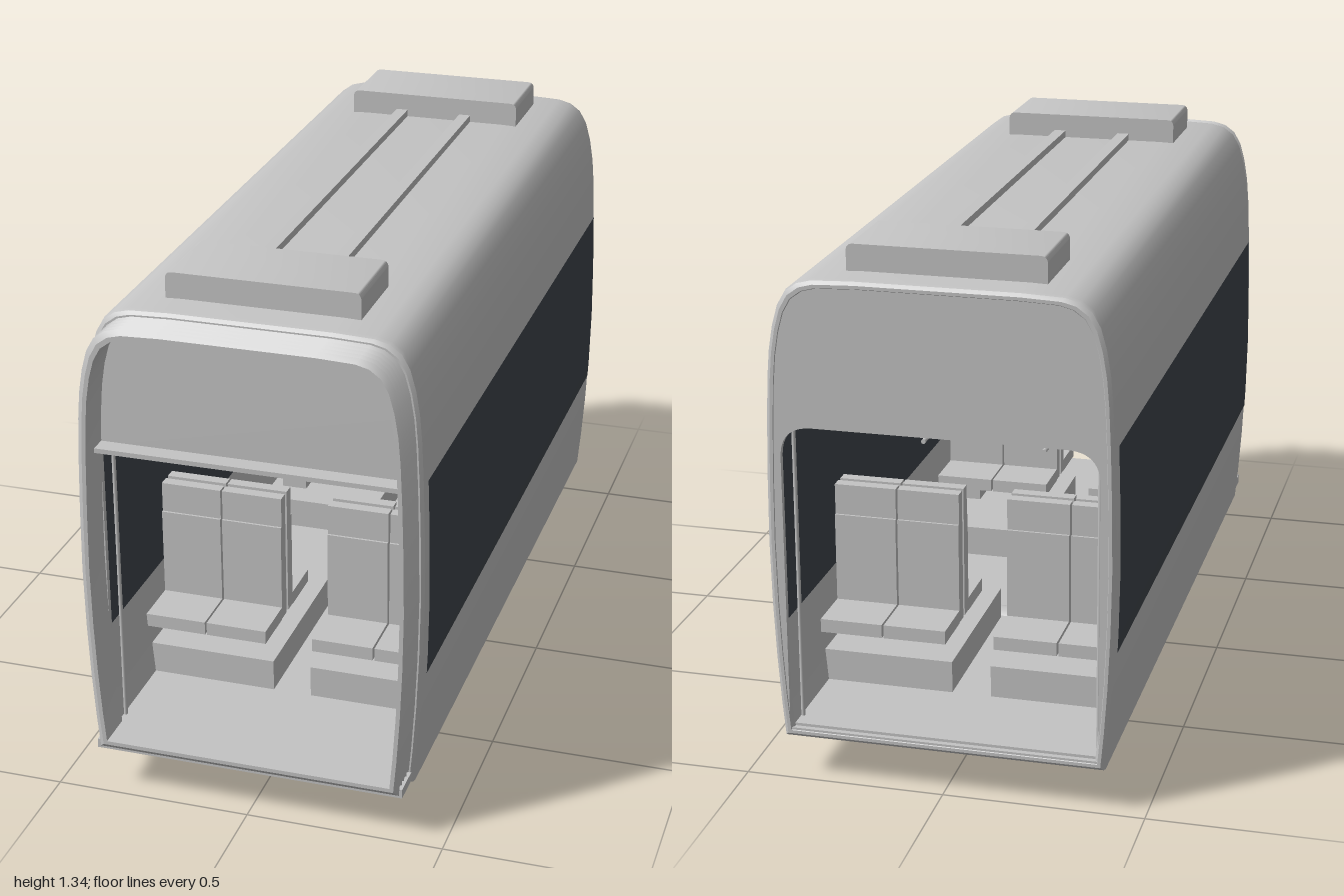
import * as THREE from 'three';
import { toCreasedNormals } from 'three/addons/utils/BufferGeometryUtils.js';

const grey = new THREE.MeshStandardMaterial({ color: 0xc4c4c4, side: THREE.DoubleSide });
grey.name = 'light grey';
const glass = new THREE.MeshStandardMaterial({ color: 0x40464d, side: THREE.DoubleSide });
glass.name = 'dark glass';

// Right half of the body section, bottom to top: slightly bulging wall, rounded shoulder
const half = [
  [0.4, 0.11], [0.408, 0.2], [0.416, 0.32], [0.422, 0.46], [0.425, 0.62], [0.423, 0.78],
  [0.419, 0.92], [0.414, 1.03], [0.408, 1.1], [0.398, 1.16], [0.384, 1.21], [0.364, 1.245],
  [0.335, 1.266], [0.3, 1.275], [0.2, 1.279],
];
const section = [...half, ...half.map(([x, y]) => [-x, y]).reverse()];

const inset = ([x, y], d) => [x * (1 - d / 0.42), 0.695 + (y - 0.695) * (1 - d / 0.585)];

function halfWidth(y) {
  for (let i = 1; i < half.length; i++) {
    const [x0, y0] = half[i - 1], [x1, y1] = half[i];
    if (y <= y1) return x0 + ((x1 - x0) * (y - y0)) / (y1 - y0);
  }
  return 0.2;
}

// Skin a section along stations [z, inset]
function loft(points, stations, closed, crease = 0.6) {
  const pos = [], idx = [], n = points.length;
  for (const [z, d] of stations)
    for (const p of points) pos.push(...inset(p, d), z);
  for (let s = 0; s < stations.length - 1; s++)
    for (let i = 0; i < (closed ? n : n - 1); i++) {
      const a = s * n + i, b = s * n + ((i + 1) % n);
      idx.push(a, b, a + n, b, b + n, a + n);
    }
  const g = new THREE.BufferGeometry();
  g.setAttribute('position', new THREE.Float32BufferAttribute(pos, 3));
  g.setIndex(idx);
  return toCreasedNormals(g, crease);
}

export function createModel() {
  const root = new THREE.Group();
  root.name = 'railCarSection';

  const add = (name, geo, mat = grey, parent = root) => {
    const m = new THREE.Mesh(geo, mat);
    m.name = name;
    parent.add(m);
    return m;
  };
  // Box given by its limits
  const box = (name, x0, x1, y0, y1, z0, z1, mat, parent) => {
    const m = add(name, new THREE.BoxGeometry(x1 - x0, y1 - y0, z1 - z0), mat, parent);
    m.position.set((x0 + x1) / 2, (y0 + y1) / 2, (z0 + z1) / 2);
    return m;
  };
  // Cylinder lying along x
  const drum = (name, r, len, x, y, z, seg = 32) => {
    const m = add(name, new THREE.CylinderGeometry(r, r, len, seg), grey);
    m.rotation.z = Math.PI / 2;
    m.position.set(x, y, z);
    return m;
  };

  // Body shell: inner skin, softened rear rim, outer skin, front rim
  add('bodyShell', loft(section, [
    [0.9, 0.025], [-0.99, 0.025], [-1, 0.018], [-1, 0.01], [-0.993, 0.002], [-0.98, 0],
    [0.89, 0], [0.903, 0.002], [0.91, 0.01], [0.91, 0.025], [0.9, 0.025],
  ], true));

  // Pleated gangway at the front end
  const pleats = [];
  for (let i = 0; i <= 10; i++) pleats.push([0.9 + i * 0.01, i % 2 ? 0.014 : 0.026]);
  pleats.push([1, 0.036], [0.9, 0.036]);
  add('gangwayBellows', loft(section, pleats, true, 0.3));

  // Side windows, inside and outside faces
  const band = [];
  for (let i = 0; i <= 10; i++) {
    const y = 0.41 + 0.0515 * i;
    band.push([halfWidth(y), y]);
  }
  for (const s of [1, -1])
    for (const d of [-0.003, 0.028]) {
      const pts = band.map(([x, y]) => {
        const k = x - d;
        return [s * k, y];
      });
      add(d < 0 ? 'windowOutside' : 'windowInside',
        loft(pts, [[-0.97, 0], [0.88, 0]], false), glass);
    }

  // End walls with a doorway opening
  const endWall = (name, z, r) => {
    const shape = new THREE.Shape(section.map((p) => new THREE.Vector2(...inset(p, 0.012))));
    const w = 0.385, top = 0.915, bottom = 0.135;
    const hole = new THREE.Path();
    hole.moveTo(-w, bottom);
    hole.lineTo(w, bottom);
    hole.lineTo(w, top - r);
    hole.quadraticCurveTo(w, top, w - r, top);
    hole.lineTo(-w + r, top);
    hole.quadraticCurveTo(-w, top, -w, top - r);
    hole.closePath();
    shape.holes.push(hole);
    const g = new THREE.ExtrudeGeometry(shape, { depth: 0.015, bevelEnabled: false });
    add(name, g).position.z = z;
  };
  endWall('rearEndWall', -0.998, 0.08);
  endWall('frontEndWall', 0.89, 0.006);

  // Floor and ceiling
  box('floor', -0.395, 0.395, 0.118, 0.142, -0.985, 0.99);
  box('ceiling', -0.385, 0.385, 0.916, 0.928, -0.98, 0.95);

  // Roof equipment
  for (const [z0, z1] of [[0.595, 0.815], [-0.91, -0.69]]) {
    const s = new THREE.Shape(), w = 0.24, y0 = 1.275, y1 = 1.343, c = 0.018;
    s.moveTo(-w, y0);
    s.lineTo(w, y0);
    s.lineTo(w, y1 - c);
    s.quadraticCurveTo(w, y1, w - c, y1);
    s.lineTo(-w + c, y1);
    s.quadraticCurveTo(-w, y1, -w, y1 - c);
    const g = new THREE.ExtrudeGeometry(s, { depth: z1 - z0, bevelEnabled: false });
    add('roofUnit', toCreasedNormals(g, 0.6)).position.z = z0;
  }
  for (const x of [-0.095, 0.09]) box('roofConduit', x - 0.016, x + 0.016, 1.27, 1.298, -0.69, 0.6);

  // Seats in back-to-back pairs on both sides of the aisle
  for (const z of [0.48, -0.58])
    for (const dir of [1, -1])
      for (const x of [-0.31, -0.145, 0.14, 0.305]) {
        const seat = new THREE.Group();
        seat.name = 'seat';
        seat.position.set(x, 0, z + dir * 0.025);
        seat.rotation.y = dir > 0 ? 0 : Math.PI;
        root.add(seat);
        box('backrest', -0.08, 0.08, 0.285, 0.55, -0.018, 0.018, grey, seat);
        box('headrest', -0.08, 0.08, 0.55, 0.63, -0.018, 0.012, grey, seat);
        box('cushion', -0.08, 0.08, 0.283, 0.318, 0.018, 0.15, grey, seat);
      }

  for (const s of [1, -1]) {
    // Raised plinths over the wheels, seat supports, poles and hand rails
    for (const z of [0.4, -0.49]) {
      box('wheelPlinth', Math.min(s * 0.05, s * 0.385), Math.max(s * 0.05, s * 0.385),
        0.14, 0.225, z - 0.24, z + 0.24);
      box('seatSupport', s * 0.315 - 0.036, s * 0.315 + 0.036, 0.225, 0.284, z - 0.02, z + 0.16);
    }
    for (const z of [0.86, -0.94]) {
      const pole = add('grabPole', new THREE.CylinderGeometry(0.005, 0.005, 0.776, 10));
      pole.position.set(s * 0.372, 0.53, z);
    }
    const rail = add('handRail', new THREE.CylinderGeometry(0.006, 0.006, 1.1, 10));
    rail.rotation.x = Math.PI / 2;
    rail.position.set(s * 0.155, 0.757, -0.05);
    for (const z of [0.45, -0.55]) box('railHanger', s * 0.155 - 0.003, s * 0.155 + 0.003, 0.757, 0.917, z - 0.003, z + 0.003);
  }

  // Hanging information display
  box('displayStem', -0.006, 0.006, 0.88, 0.918, -0.056, -0.044);
  box('displayCase', -0.115, 0.115, 0.805, 0.885, -0.07, -0.03);
  for (const z of [-0.071, -0.029]) box('displayPane', -0.107, 0.107, 0.813, 0.877, z - 0.002, z + 0.002, glass);

  // Running gear: wheels, axle, brake discs and axle boxes
  for (const z of [0.29, -0.38]) {
    drum('axle', 0.012, 0.62, 0, 0.1, z, 12);
    for (const s of [1, -1]) {
      drum('wheelTread', 0.1, 0.045, s * 0.285, 0.112, z);
      drum('wheelFlange', 0.112, 0.014, s * 0.263, 0.112, z);
      drum('brakeDisc', 0.062, 0.016, s * 0.175, 0.108, z);
      box('axleBox', s * 0.32 - 0.02, s * 0.32 + 0.02, 0.088, 0.125, z - 0.045, z + 0.045);
    }
  }
  // Transverse motors under the floor
  for (const z of [0.13, -0.21]) drum('motor', 0.045, 0.27, -0.024, 0.11, z);

  return root;
}
